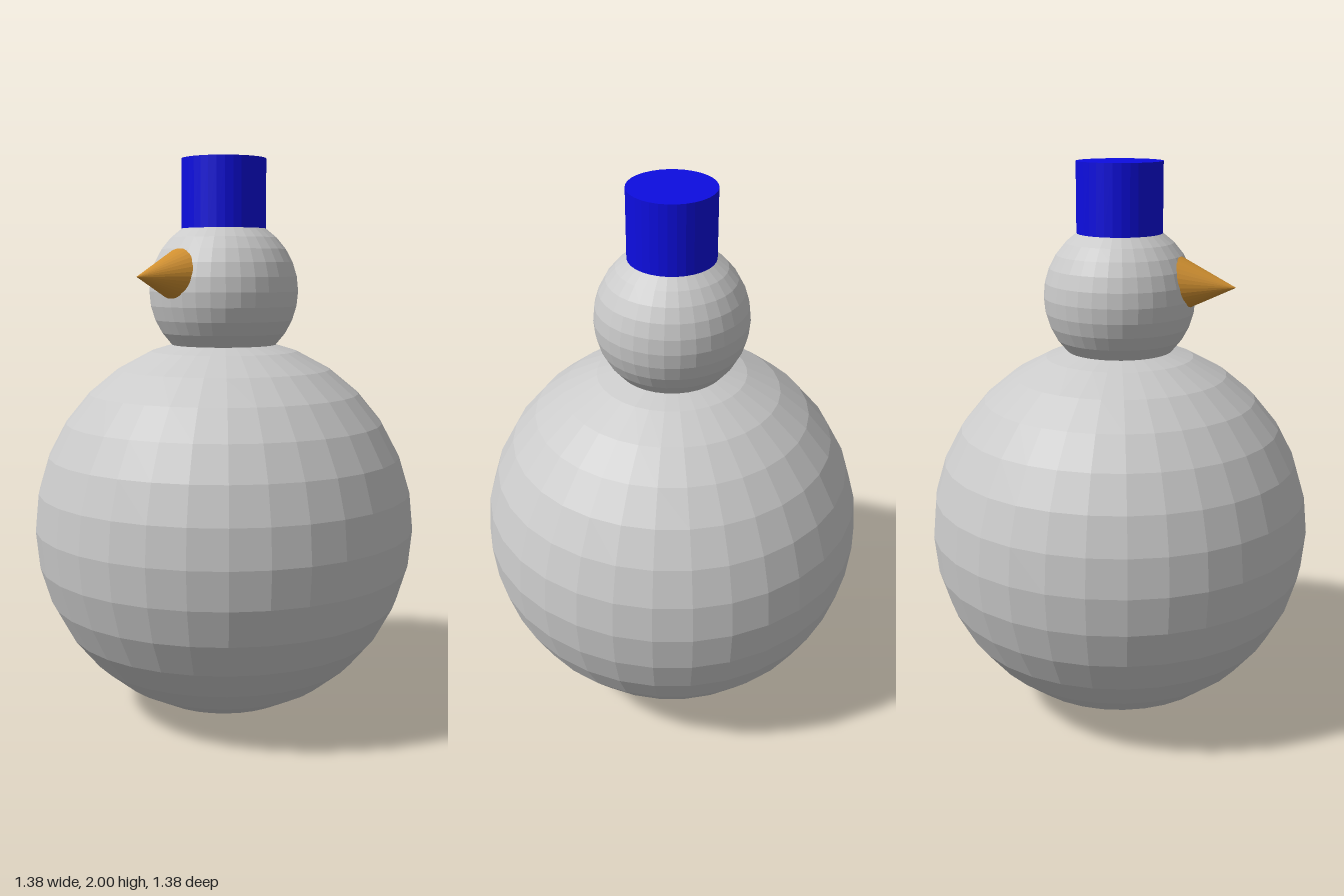
import * as THREE from 'three';

const SEGMENTS = 32;

// Split shared corners so that every facet is shaded flat
function faceted(geometry) {
  const flat = geometry.toNonIndexed();
  flat.computeVertexNormals();
  return flat;
}

export function createModel() {
  const material = (name, color) => {
    const m = new THREE.MeshStandardMaterial({ color });
    m.name = name;
    return m;
  };
  const snow = material('snow', 0xcacaca);
  const hatBlue = material('hatBlue', 0x0d0de0);
  const carrot = material('carrot', 0xcf8f30);

  const model = new THREE.Group();
  model.name = 'snowman';

  const add = (name, geometry, mat, y, z = 0) => {
    const mesh = new THREE.Mesh(faceted(geometry), mat);
    mesh.name = name;
    mesh.position.set(0, y, z);
    model.add(mesh);
  };

  // Two snowballs
  add('body', new THREE.SphereGeometry(0.688, SEGMENTS, 16), snow, 0.688);
  add('head', new THREE.SphereGeometry(0.267, SEGMENTS, 16), snow, 1.537);

  // Plain cylinder hat, its base sunk slightly into the head
  const hatBottom = 1.755;
  const hatHeight = 2 - hatBottom;
  add('hat', new THREE.CylinderGeometry(0.15, 0.15, hatHeight, SEGMENTS), hatBlue, hatBottom + hatHeight / 2);

  // Carrot nose pointing forward, base buried in the head
  const noseLength = 0.22;
  const nose = new THREE.ConeGeometry(0.106, noseLength, SEGMENTS).rotateX(Math.PI / 2);
  add('nose', nose, carrot, 1.59, 0.42 - noseLength / 2);

  return model;
}
